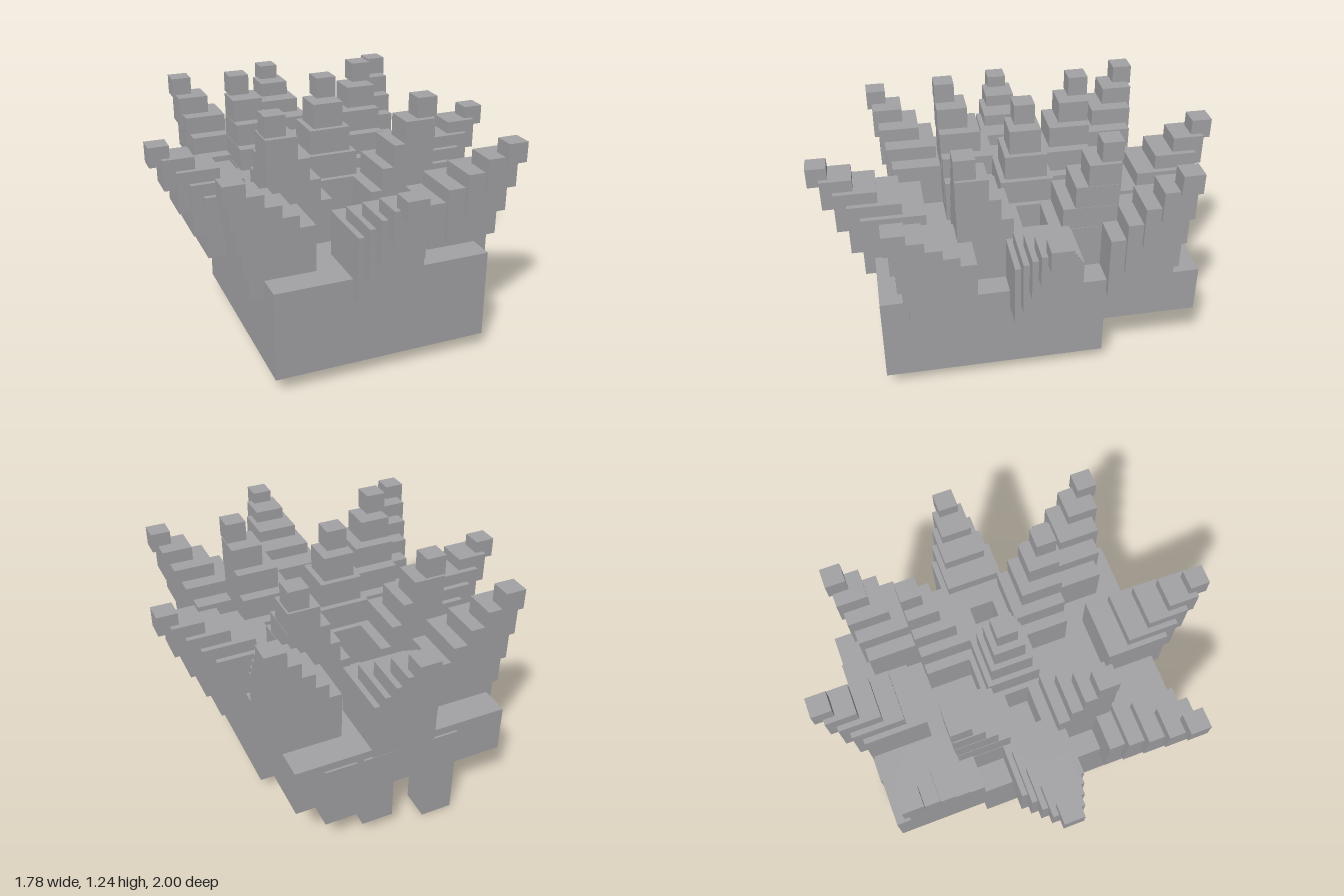
import * as THREE from 'three';

const stoneGrey = new THREE.MeshStandardMaterial({ color: 0xa3a2a5 });
stoneGrey.name = 'stoneGrey';

// Box given by its lower and upper corners
function box(name, min, max) {
  const size = max.map((v, i) => v - min[i]);
  const mesh = new THREE.Mesh(new THREE.BoxGeometry(...size), stoneGrey);
  mesh.name = name;
  mesh.position.set(...max.map((v, i) => (v + min[i]) / 2));
  return mesh;
}

// Spike: five cubes shrinking evenly from the base centre to the tip centre
function spike(name, base, tip) {
  const group = new THREE.Group();
  group.name = name;
  const a = new THREE.Vector3(...base), b = new THREE.Vector3(...tip);
  for (let i = 0; i < 5; i++) {
    const t = i / 4;
    const size = THREE.MathUtils.lerp(0.317, 0.1, t);
    const cube = new THREE.Mesh(new THREE.BoxGeometry(size, size, size), stoneGrey);
    cube.name = 'spikeBlock';
    cube.position.lerpVectors(a, b, t);
    group.add(cube);
  }
  return group;
}

export function createModel() {
  const model = new THREE.Group();
  model.name = 'spikedCap';

  // Cap: solid upper slab with a lower rim, open at the back
  model.add(box('capSlab', [-0.53, 0.28, -0.82], [0.53, 0.52, 0.715]));
  model.add(box('frontRim', [-0.53, 0.08, 0.535], [0.53, 0.28, 0.715]));
  for (const s of [-1, 1]) {
    const x = [s * 0.53, s * 0.425].sort((p, q) => p - q);
    model.add(box('sideRim', [x[0], 0.08, -0.36], [x[1], 0.28, 0.535]));
  }

  // Hanging strands at the back: left edge, right edge, lower end
  for (const [x0, x1, y] of [[-0.28, -0.125, 0], [0.045, 0.2, 0.08], [0.235, 0.39, 0.16]]) {
    model.add(box('backStrand', [x0, y, -0.83], [x1, 0.48, -0.685]));
  }

  // Spikes on the centre line
  model.add(spike('frontSpike', [0, 0.585, 0.61], [0, 0.94, 0.95]));
  model.add(spike('topSpike', [0, 0.585, -0.05], [0, 1.185, -0.05]));
  model.add(spike('backSpike', [0, 0.61, -0.67], [0, 1.02, -0.95]));

  // Mirrored spikes
  const pairs = [
    ['sideSpike', [0.5, 0.585, -0.052], [0.84, 0.94, -0.052]],
    ['frontCornerSpike', [0.44, 0.59, 0.425], [0.675, 0.985, 0.63]],
    ['backCornerSpike', [0.4, 0.605, -0.52], [0.57, 1.07, -0.7]],
    ['frontInnerSpike', [0.26, 0.585, 0.17], [0.38, 1.14, 0.29]],
    ['backInnerSpike', [0.24, 0.585, -0.27], [0.34, 1.14, -0.395]],
  ];
  for (const [name, base, tip] of pairs) {
    for (const s of [-1, 1]) {
      model.add(spike(name, [s * base[0], base[1], base[2]], [s * tip[0], tip[1], tip[2]]));
    }
  }
  return model;
}
